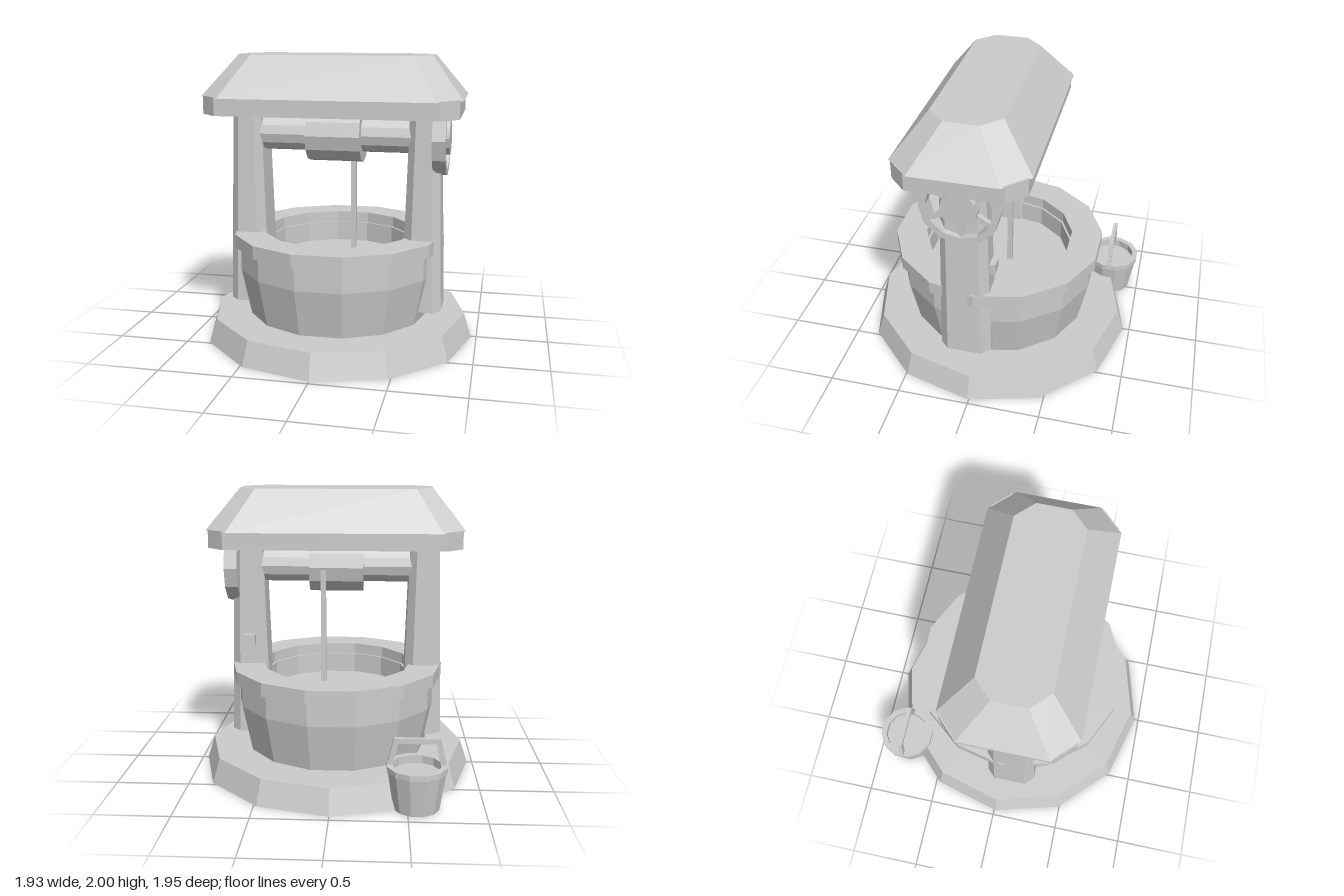
import * as THREE from 'three';

// Double-sided because the base and the bucket are shells open at the bottom
const stone = new THREE.MeshStandardMaterial({ color: 0xcccccc, flatShading: true, side: THREE.DoubleSide });
stone.name = 'plain grey';

function part(name, geometry, x = 0, y = 0, z = 0) {
  const mesh = new THREE.Mesh(geometry, stone);
  mesh.name = name;
  mesh.position.set(x, y, z);
  return mesh;
}

// Turned shape with few sides; the profile runs up the outside
function turned(profile, sides, start = 0) {
  return new THREE.LatheGeometry(profile.map(([r, y]) => new THREE.Vector2(r, y)), sides, start);
}

// Box with cut corners, lofted through levels [y, halfX, halfZ, cut]
function cutBox(levels) {
  const pos = [];
  const index = [];
  for (const [y, hx, hz, c] of levels) {
    const corners = [
      [hx - c, hz], [hx, hz - c], [hx, c - hz], [hx - c, -hz],
      [c - hx, -hz], [-hx, c - hz], [-hx, hz - c], [c - hx, hz],
    ];
    for (const [x, z] of corners) pos.push(x, y, z);
  }
  const top = (levels.length - 1) * 8;
  for (let l = 0; l < top; l += 8) {
    for (let i = 0; i < 8; i++) {
      const a = l + i, b = l + (i + 1) % 8;
      index.push(a, b, b + 8, a, b + 8, a + 8);
    }
  }
  for (let i = 1; i < 7; i++) {
    index.push(top, top + i, top + i + 1);
    index.push(0, i + 1, i);
  }
  const g = new THREE.BufferGeometry();
  g.setAttribute('position', new THREE.Float32BufferAttribute(pos, 3));
  g.setIndex(index);
  g.computeVertexNormals();
  return g;
}

// Cylinder lying along x, from x0 to x1
function bar(radius, x0, x1) {
  const g = new THREE.CylinderGeometry(radius, radius, x1 - x0, 12);
  g.rotateZ(-Math.PI / 2);
  g.translate((x0 + x1) / 2, 0, 0);
  return g;
}

export function createModel() {
  const well = new THREE.Group();
  well.name = 'well';
  const frameZ = 0.084;
  const axleY = 1.455;

  // Twelve-sided base, hollow underneath
  well.add(part('base', turned([[0.963, 0], [0.91, 0.17], [0, 0.17]], 12), 0, 0, 0.009));

  // Fourteen-sided wall, rim and water, flat towards the front
  const ring14 = (profile) => turned(profile, 14, Math.PI / 14);
  well.add(part('wall', ring14([
    [0.646, 0.171], [0.713, 0.5], [0.713, 0.68], [0.518, 0.68], [0.518, 0.171],
  ]), 0, 0, 0.015));
  well.add(part('rim', ring14([
    [0.533, 0.667], [0.753, 0.667], [0.753, 0.758], [0.533, 0.758], [0.533, 0.667],
  ]), 0, 0, 0.015));
  well.add(part('water', ring14([[0.52, 0.535], [0, 0.535]]), 0, 0, 0.015));

  // Tapered posts
  for (const [side, name] of [[1, 'leftPost'], [-1, 'rightPost']]) {
    well.add(part(name, cutBox([
      [0.25, 0.14, 0.18, 0.06],
      [1.62, 0.1, 0.15, 0.046],
    ]), side * 0.618, 0, frameZ));
  }
  well.add(part('postPlate', new THREE.BoxGeometry(0.09, 0.075, 0.04), 0.617, 0.937, -0.1));

  // Roof
  well.add(part('eaves', cutBox([
    [1.607, 0.86, 0.432, 0.117],
    [1.73, 0.86, 0.432, 0.117],
  ]), 0, 0, frameZ));
  well.add(part('roof', cutBox([
    [1.723, 0.88, 0.452, 0.16],
    [2, 0.665, 0.235, 0.12],
  ]), 0, 0, frameZ));

  // Axle, rope drum and rope
  const winch = new THREE.Group();
  winch.name = 'winch';
  winch.position.set(0, axleY, frameZ);
  well.add(winch);
  winch.add(part('axle', bar(0.122, -0.62, 0.785)));
  winch.add(part('drum', bar(0.192, -0.19, 0.187)));
  winch.add(part('rope', new THREE.BoxGeometry(0.036, 0.86, 0.036), 0.087, -0.43, -0.17));

  // Hand wheel with six spokes
  const wheel = turned([
    [0.219, 0.68], [0.265, 0.68], [0.265, 0.77], [0.219, 0.77], [0.219, 0.68],
  ], 12);
  wheel.rotateZ(-Math.PI / 2);
  winch.add(part('wheelRing', wheel));
  for (let i = 0; i < 6; i++) {
    const spoke = new THREE.BoxGeometry(0.035, 0.135, 0.03);
    spoke.translate(0.725, 0.163, 0);
    spoke.rotateX(i * Math.PI / 3);
    winch.add(part('wheelSpoke', spoke));
  }

  // Bucket beside the base, open underneath
  const bucket = new THREE.Group();
  bucket.name = 'bucket';
  bucket.position.set(-0.557, 0, -0.78);
  well.add(bucket);
  const ring12 = (profile) => turned(profile, 12, Math.PI / 12);
  bucket.add(part('bucketBody', ring12([[0.153, 0], [0.194, 0.262]])));
  bucket.add(part('bucketRim', ring12([
    [0.194, 0.258], [0.2, 0.258], [0.2, 0.295], [0.16, 0.295], [0.16, 0.24], [0, 0.24],
  ])));
  const outline = [
    [-0.195, 0.275], [-0.155, 0.275], [-0.122, 0.435], [0.122, 0.435],
    [0.155, 0.275], [0.195, 0.275], [0.15, 0.47], [-0.15, 0.47],
  ].map(([x, y]) => new THREE.Vector2(x, y));
  const handle = new THREE.ExtrudeGeometry(new THREE.Shape(outline), { depth: 0.03, bevelEnabled: false });
  bucket.add(part('bucketHandle', handle, 0, 0, -0.01));

  return well;
}
